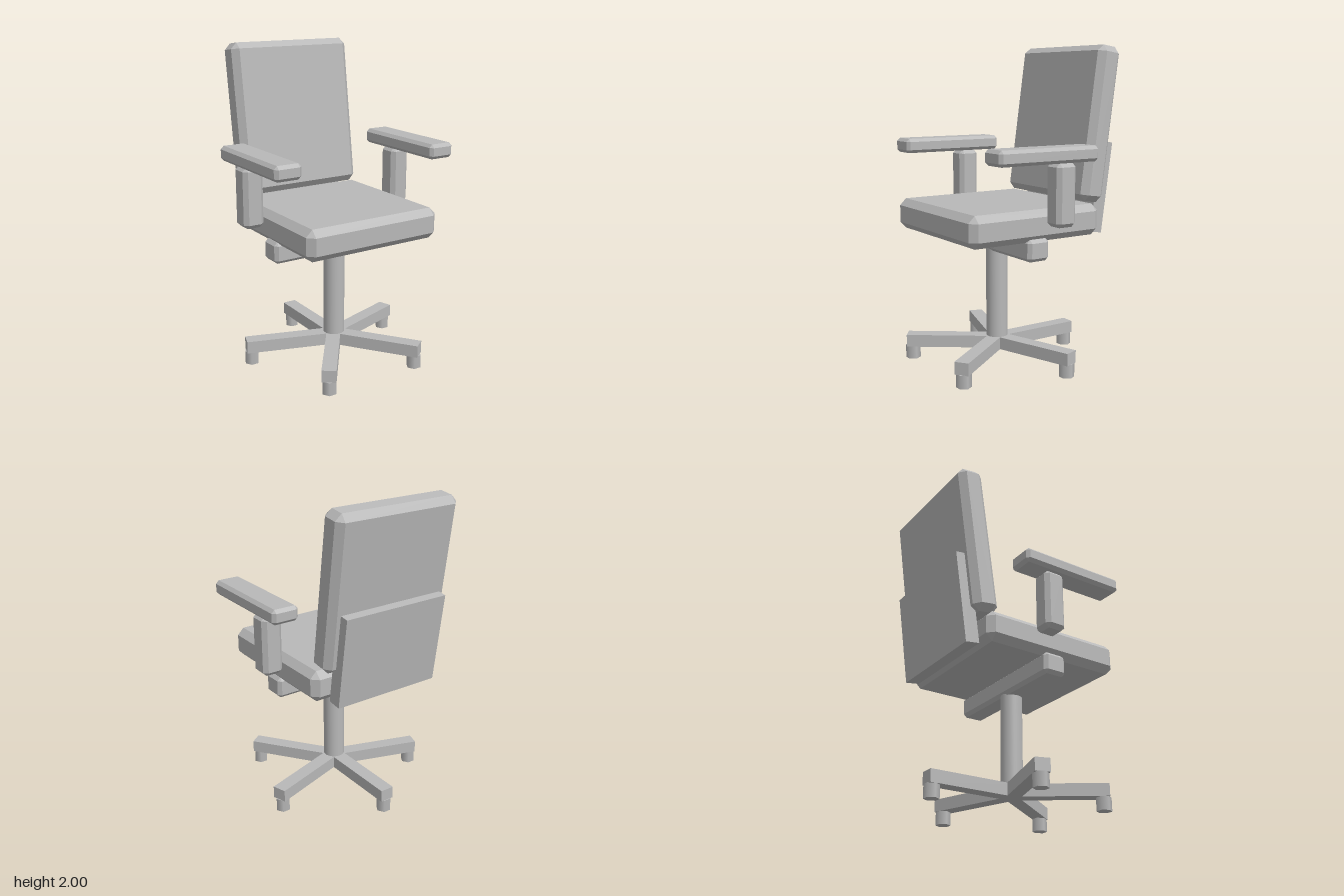
import * as THREE from 'three';
import { ConvexGeometry } from 'three/addons/geometries/ConvexGeometry.js';

// Box with every edge and corner cut flat by c
function chamferBox(w, h, d, c) {
  const pts = [];
  for (const sx of [-1, 1]) for (const sy of [-1, 1]) for (const sz of [-1, 1]) {
    const x = w / 2, y = h / 2, z = d / 2;
    pts.push(
      new THREE.Vector3(sx * x, sy * (y - c), sz * (z - c)),
      new THREE.Vector3(sx * (x - c), sy * y, sz * (z - c)),
      new THREE.Vector3(sx * (x - c), sy * (y - c), sz * z)
    );
  }
  return new ConvexGeometry(pts);
}

export function createModel() {
  const model = new THREE.Group();
  model.name = 'officeChair';
  const grey = new THREE.MeshStandardMaterial({ color: 0xb8b8b8 });
  grey.name = 'grey';

  const add = (name, geometry, x, y, z, parent = model) => {
    const mesh = new THREE.Mesh(geometry, grey);
    mesh.name = name;
    mesh.position.set(x, y, z);
    parent.add(mesh);
    return mesh;
  };

  const tilt = THREE.MathUtils.degToRad(-8);
  const hubZ = 0.08;

  // Seat, crossbar and column
  add('seat', chamferBox(0.93, 0.193, 0.93, 0.042), 0, 0.935, 0.08);
  add('crossbar', chamferBox(0.93, 0.135, 0.152, 0.021), 0, 0.79, hubZ);
  add('column', new THREE.CylinderGeometry(0.068, 0.068, 0.6, 32), 0, 0.44, hubZ);

  // Reclined backrest and the plate behind it
  add('backrest', chamferBox(0.85, 0.967, 0.17, 0.04), 0, 1.515, -0.43).rotation.x = tilt;
  add('backPlate', new THREE.BoxGeometry(0.72, 0.575, 0.09), 0, 1.117, -0.473).rotation.x = tilt;

  // Armrests
  for (const [side, s] of [['left', 1], ['right', -1]]) {
    add(side + 'ArmPad', chamferBox(0.174, 0.093, 0.697, 0.02), s * 0.543, 1.362, 0.117);
    add(side + 'ArmPost', chamferBox(0.133, 0.378, 0.138, 0.025), s * 0.544, 1.127, -0.014);
  }

  // Five spokes with hexagonal feet, one pointing straight back
  const base = new THREE.Group();
  base.name = 'base';
  base.position.z = hubZ;
  model.add(base);
  const spokeGeo = new THREE.BoxGeometry(0.09, 0.078, 0.58).translate(0, 0, 0.29);
  const footGeo = new THREE.CylinderGeometry(0.047, 0.047, 0.084, 6).rotateY(Math.PI / 6);
  for (let i = 0; i < 5; i++) {
    const a = Math.PI + (i * Math.PI * 2) / 5;
    add('spoke', spokeGeo, 0, 0.121, 0, base).rotation.y = a;
    add('foot', footGeo, Math.sin(a) * 0.545, 0.042, Math.cos(a) * 0.545, base);
  }
  return model;
}
